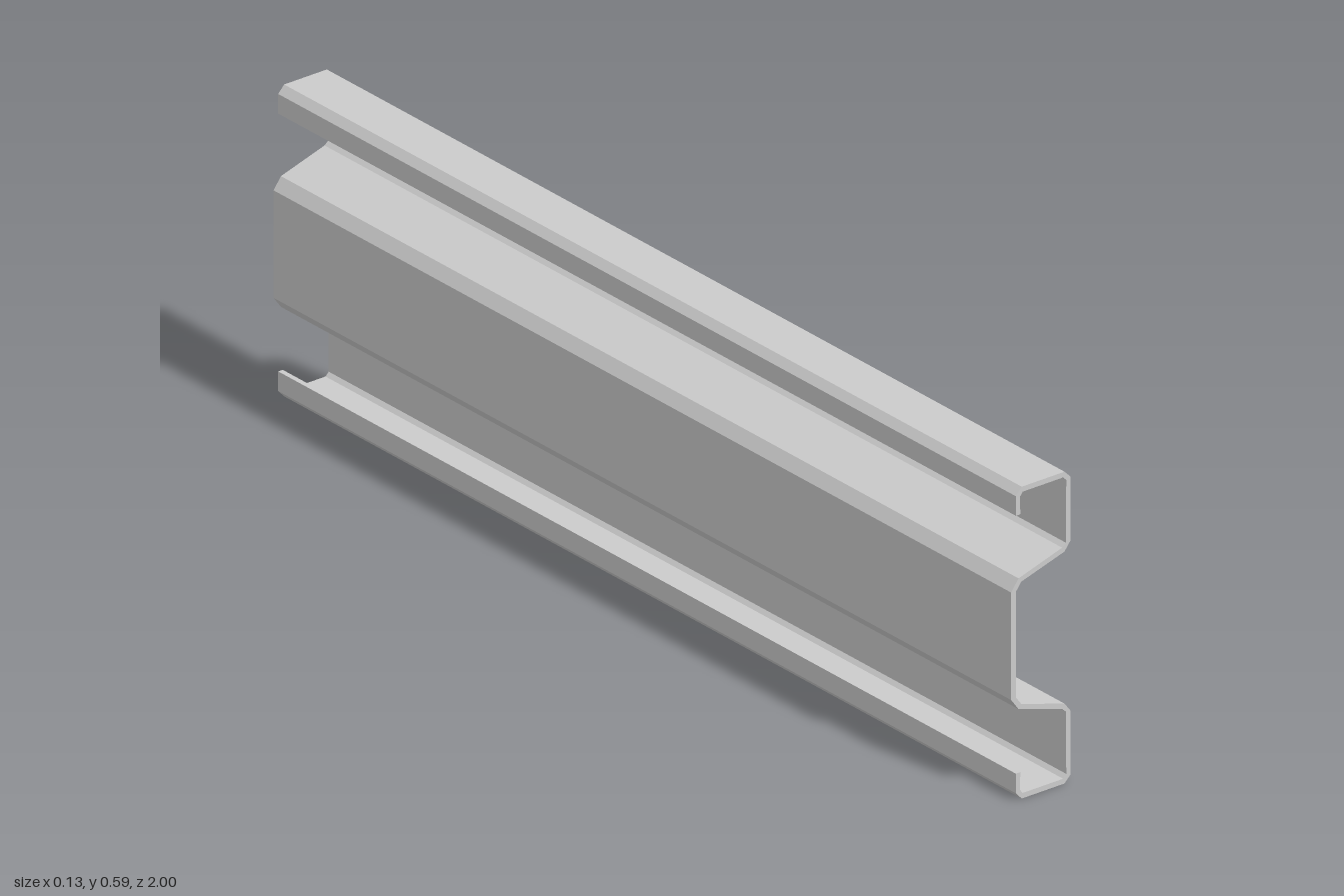
import * as THREE from 'three';

const HEIGHT = 0.589;
const LENGTH = 2;

// Upper half of the section, from lip to web: one face of the sheet...
const faceA = [
  [-0.055, 0.538], [-0.055, 0.575], [-0.042, 0.589], [0.051, 0.589], [0.064, 0.576],
  [0.064, 0.455], [0.051, 0.438], [-0.043, 0.41], [-0.055, 0.394],
];
// ...and the other face, in the same order
const faceB = [
  [-0.045, 0.538], [-0.046, 0.571], [-0.04, 0.579], [0.048, 0.579], [0.055, 0.572],
  [0.054, 0.454], [0.046, 0.447], [-0.049, 0.418], [-0.065, 0.396],
];

// Continue a half face down to the lower lip by mirroring about mid height
const mirrored = (half) => [...half, ...half.map(([x, y]) => [x, HEIGHT - y]).reverse()];

export function createModel() {
  const group = new THREE.Group();
  group.name = 'foldedRail';

  // Closed outline: down one face of the sheet and back up the other
  const outline = [...mirrored(faceA), ...mirrored(faceB).reverse()];
  const section = new THREE.Shape(outline.map(([x, y]) => new THREE.Vector2(x, y)));

  // Straight extrusion along z
  const geometry = new THREE.ExtrudeGeometry(section, { depth: LENGTH, bevelEnabled: false });
  geometry.translate(0, 0, -LENGTH / 2);

  const material = new THREE.MeshStandardMaterial({ color: 0xcccccc, flatShading: true });
  const rail = new THREE.Mesh(geometry, material);
  rail.name = 'railProfile';
  group.add(rail);
  return group;
}
